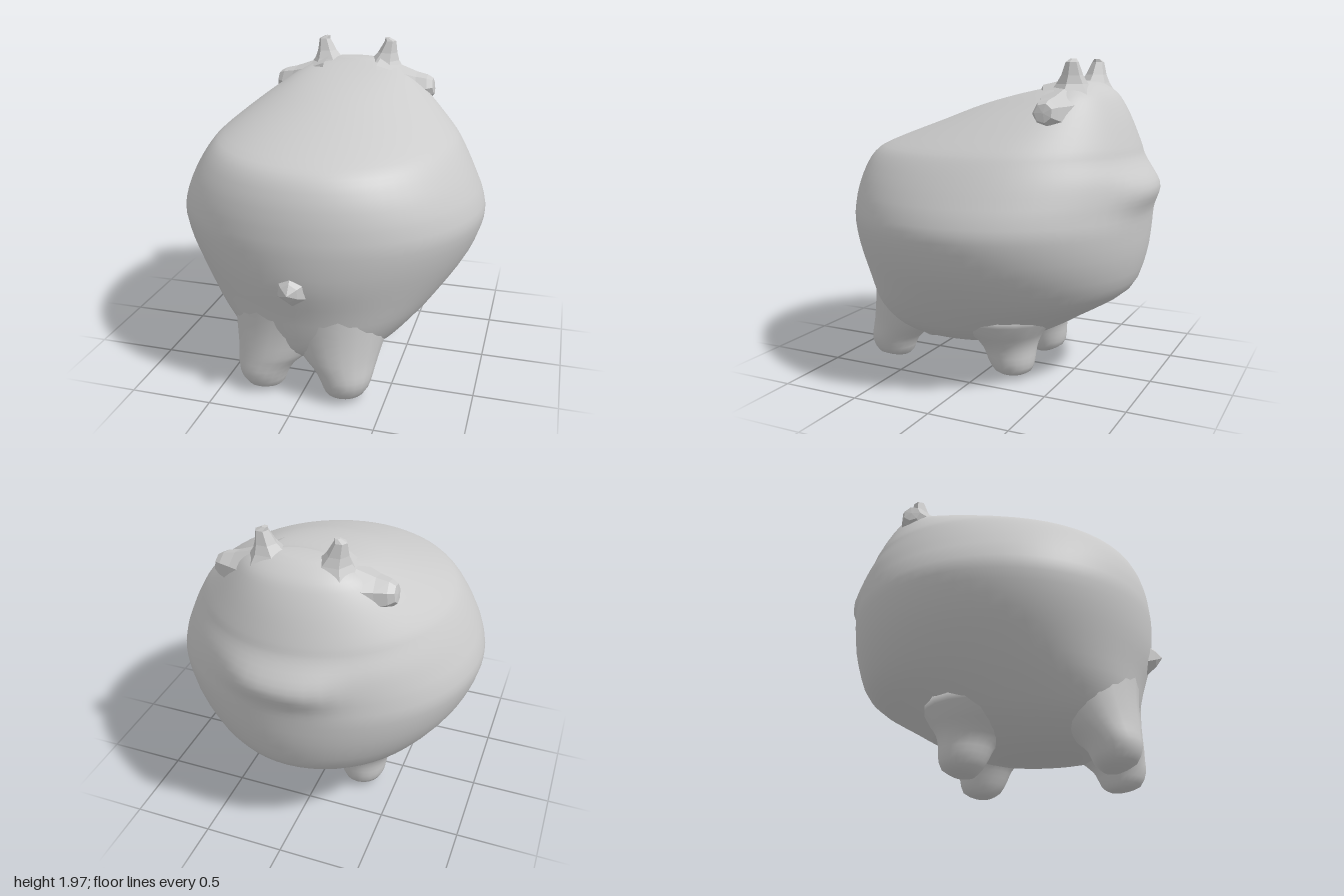
import * as THREE from 'three';

const smooth = new THREE.MeshStandardMaterial({ color: 0xcccccc });
const faceted = new THREE.MeshStandardMaterial({ color: 0xcccccc, flatShading: true });

// Closed surface through stacked horizontal rings; ringPoint(row, angle) gives [x, y, z]
function loft(rows, sides, ringPoint) {
  const pos = [], index = [];
  for (const row of rows)
    for (let j = 0; j < sides; j++) pos.push(...ringPoint(row, (j / sides) * Math.PI * 2));
  for (let i = 0; i < rows.length - 1; i++)
    for (let j = 0; j < sides; j++) {
      const a = i * sides + j, b = i * sides + ((j + 1) % sides), c = a + sides, d = b + sides;
      index.push(a, c, b, b, c, d);
    }
  // Caps at the first and last ring
  for (const [i, flip] of [[0, false], [rows.length - 1, true]]) {
    const mid = new THREE.Vector3();
    for (let j = 0; j < sides; j++) {
      const k = (i * sides + j) * 3;
      mid.add(new THREE.Vector3(pos[k], pos[k + 1], pos[k + 2]));
    }
    mid.divideScalar(sides);
    const m = pos.length / 3;
    pos.push(mid.x, mid.y, mid.z);
    for (let j = 0; j < sides; j++) {
      const a = i * sides + j, b = i * sides + ((j + 1) % sides);
      if (flip) index.push(m, b, a);
      else index.push(m, a, b);
    }
  }
  const g = new THREE.BufferGeometry();
  g.setAttribute('position', new THREE.Float32BufferAttribute(pos, 3));
  g.setIndex(index);
  g.computeVertexNormals();
  return g;
}

// Rows resampled with a smooth curve, `per` steps between neighbours
function resample(rows, per) {
  const spline = new THREE.CubicInterpolant(rows.map((_, i) => i), rows.flat(), rows[0].length);
  return Array.from({ length: (rows.length - 1) * per + 1 }, (_, i) => [...spline.evaluate(i / per)]);
}

function add(parent, name, geometry, material) {
  const mesh = new THREE.Mesh(geometry, material);
  mesh.name = name;
  parent.add(mesh);
  return mesh;
}

// Body levels: height, half width, front z, back z, z of the widest place
const bodyRows = [
  [0.17, 0.16, 0.45, 0.0, 0.25],
  [0.205, 0.31, 0.64, -0.2, 0.25],
  [0.3, 0.48, 0.78, -0.4, 0.2],
  [0.42, 0.61, 0.83, -0.6, 0.12],
  [0.58, 0.75, 0.87, -0.84, 0.04],
  [0.78, 0.885, 0.93, -0.92, 0],
  [0.98, 0.955, 0.95, -0.945, 0],
  [1.1, 0.94, 0.945, -0.945, 0],
  [1.2, 0.9, 0.93, -0.945, 0],
  [1.3, 0.85, 0.9, -0.93, -0.02],
  [1.4, 0.79, 0.84, -0.89, -0.06],
  [1.47, 0.73, 0.72, -0.87, -0.12],
  [1.6, 0.58, 0.37, -0.82, -0.28],
  [1.7, 0.45, 0.1, -0.77, -0.42],
  [1.77, 0.35, -0.16, -0.72, -0.5],
  [1.82, 0.24, -0.4, -0.65, -0.53],
  [1.845, 0.12, -0.47, -0.59, -0.53],
];

// Leg levels: height, centre x, centre z, radius; the tops flare into the belly
const frontLegRows = [
  [0.01, 0.22, 0.67, 0.05], [0.05, 0.25, 0.69, 0.12], [0.13, 0.255, 0.69, 0.155],
  [0.2, 0.235, 0.655, 0.19], [0.27, 0.2, 0.605, 0.24], [0.4, 0.17, 0.54, 0.3],
  [0.56, 0.13, 0.48, 0.37], [0.76, 0.08, 0.46, 0.42],
];
const backLegRows = [
  [0.02, 0.25, -0.18, 0.06], [0.06, 0.27, -0.19, 0.12], [0.13, 0.27, -0.18, 0.15],
  [0.2, 0.26, -0.165, 0.17], [0.27, 0.25, -0.14, 0.215], [0.34, 0.24, -0.12, 0.28], [0.45, 0.2, -0.1, 0.38],
];
const hornRows = [
  [1.68, 0.19, -0.52, 0.2], [1.77, 0.19, -0.525, 0.14], [1.83, 0.195, -0.53, 0.095],
  [1.88, 0.21, -0.535, 0.065], [1.955, 0.227, -0.54, 0.038], [1.975, 0.207, -0.54, 0.018],
];

export function createModel() {
  const model = new THREE.Group();
  model.name = 'plumpAnimal';

  // Body: egg-shaped sections, squarer in front low down, with a short brow ridge at the back
  const body = loft(resample(bodyRows, 3), 64, ([y, w, front, back, mid], a) => {
    const c = Math.cos(a), s = Math.sin(a);
    const power = s > 0 ? 1 - 0.15 * THREE.MathUtils.smoothstep(0.8 - y, 0, 0.4) : 1;
    const x = w * Math.sign(c) * Math.abs(c) ** power;
    let z = mid + Math.sign(s) * Math.abs(s) ** power * (s > 0 ? front - mid : mid - back);
    if (s < 0) z -= 0.055 * Math.exp(-((x / 0.32) ** 4) - ((y - 1.22) / 0.11) ** 2);
    return [x, y, z];
  });
  add(model, 'body', body, smooth);

  for (const side of [1, -1]) {
    const label = side > 0 ? 'left' : 'right';
    const round = ([y, x, z, r], a) => [side * x + r * Math.cos(a), y, z + r * Math.sin(a)];
    add(model, label + 'FrontLeg', loft(resample(frontLegRows, 2), 20, round), smooth);
    add(model, label + 'BackLeg', loft(resample(backLegRows, 2), 20, round), smooth);
    add(model, label + 'Horn', loft(hornRows, 6, round), faceted);

    // Stubby ear pointing sideways, widening into the head
    const profile = [[0.24, -0.2], [0.16, -0.08], [0.105, 0.03], [0.08, 0.1], [0.055, 0.135], [0, 0.14]];
    const ear = add(model, label + 'Ear',
      new THREE.LatheGeometry(profile.map(([r, h]) => new THREE.Vector2(r, h)), 7), faceted);
    ear.position.set(side * 0.4, 1.66, -0.49);
    ear.rotation.z = -side * 1.45;
  }

  // Small pointed tail, flaring into the body
  const tailProfile = [[0.13, -0.08], [0.09, -0.03], [0.055, 0.01], [0, 0.05]];
  const tail = add(model, 'tail',
    new THREE.LatheGeometry(tailProfile.map(([r, h]) => new THREE.Vector2(r, h)), 6), faceted);
  tail.position.set(0, 0.775, 0.95);
  tail.rotation.x = Math.PI / 2;

  return model;
}
